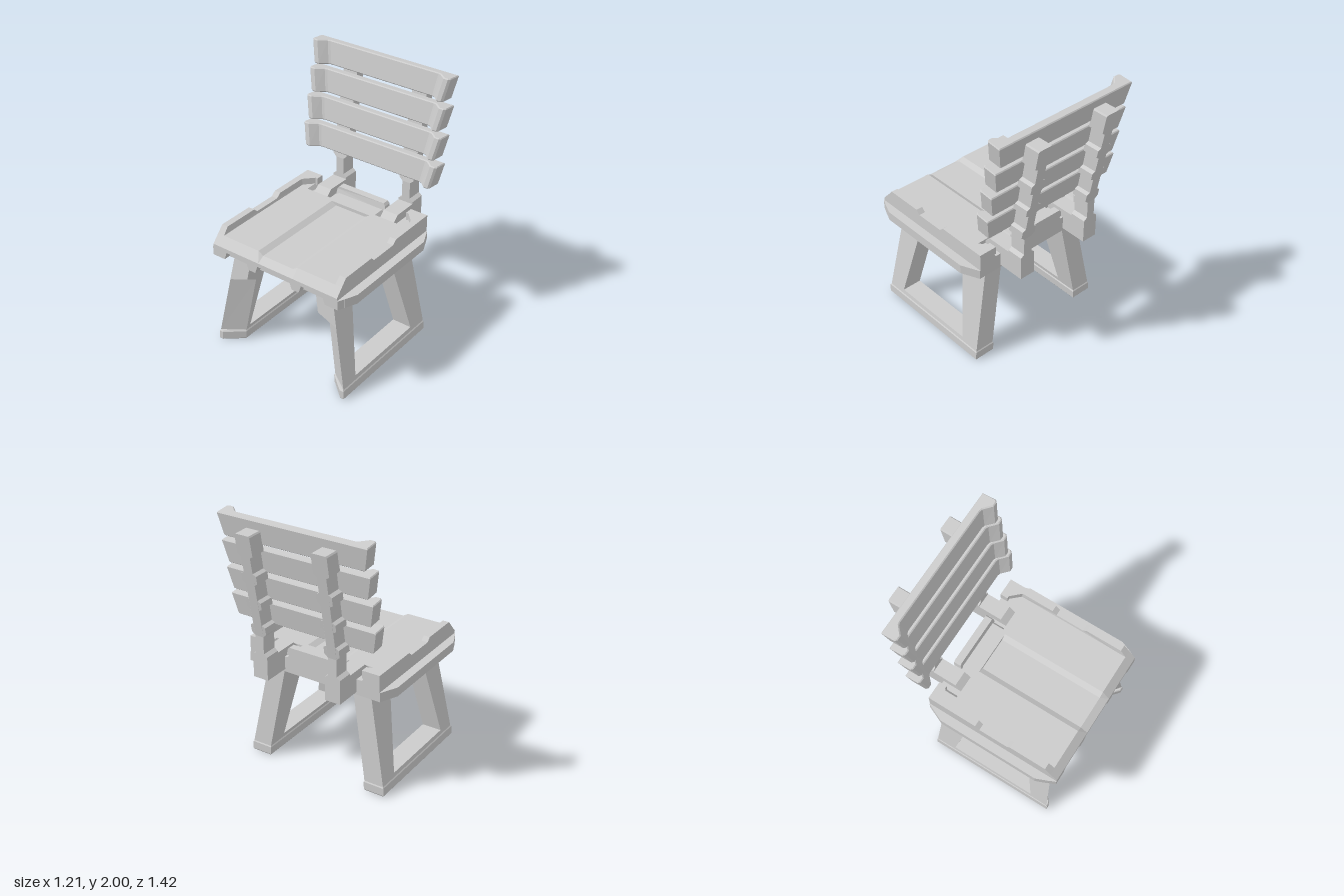
import * as THREE from 'three';

const mat = new THREE.MeshStandardMaterial({ color: 0xcccccc, flatShading: true });

const outline = (pts) => new THREE.Shape(pts.map(([a, b]) => new THREE.Vector2(a, b)));
// mirrors a half outline across x = 0
const symmetric = (half) => [...half, ...half.map(([x, y]) => [-x, y]).reverse()];

// Extrudes a shape, then moves each vertex by rule(a, b, c); keeps faces pointing outward
function extrude(name, shape, depth, rule, options = {}) {
  const geo = new THREE.ExtrudeGeometry(shape, { depth, bevelEnabled: false, ...options });
  const p = geo.attributes.position;
  for (let i = 0; i < p.count; i++) p.setXYZ(i, ...rule(p.getX(i), p.getY(i), p.getZ(i)));
  const a = new THREE.Vector3(), b = new THREE.Vector3(), c = new THREE.Vector3();
  let volume = 0;
  for (let i = 0; i < p.count; i += 3) {
    a.fromBufferAttribute(p, i);
    b.fromBufferAttribute(p, i + 1);
    c.fromBufferAttribute(p, i + 2);
    volume += a.dot(b.cross(c));
  }
  if (volume < 0) {
    for (let i = 0; i < p.count; i += 3) {
      b.fromBufferAttribute(p, i + 1);
      c.fromBufferAttribute(p, i + 2);
      p.setXYZ(i + 1, c.x, c.y, c.z);
      p.setXYZ(i + 2, b.x, b.y, b.z);
    }
  }
  geo.computeVertexNormals();
  const mesh = new THREE.Mesh(geo, mat);
  mesh.name = name;
  return mesh;
}

function createSeat() {
  const seat = new THREE.Group();
  seat.name = 'seat';

  // wide lower flange with cut corners
  const flange = symmetric([[0.545, -0.355], [0.605, -0.22], [0.605, 0.57], [0.568, 0.66]]);
  seat.add(extrude('seatFlange', outline(flange), 0.07, (x, z, y) => [x, 0.78 + y, z]));

  // front strip with three notches along its lower edge
  const strip = symmetric([
    [0.16, 0.78], [0.22, 0.78], [0.24, 0.84], [0.42, 0.84], [0.44, 0.78], [0.545, 0.78], [0.545, 0.85],
  ]);
  strip.unshift([-0.14, 0.84], [0.14, 0.84]);
  seat.add(extrude('frontStrip', outline(strip), 0.05,
    (x, y, c) => [x * (Math.abs(x) > 0.5 && c < 0.01 ? 1.04 : 1), y, 0.66 + c]));

  // main board: central groove, sloping front edge
  const board = symmetric([[0.54, 0.85], [0.54, 0.93], [0.17, 0.93], [0.13, 0.905]]);
  const zAt = [-0.17, 0.655, 0.71];
  seat.add(extrude('seatBoard', outline(board), 1, (x, y, c) => {
    const k = Math.round(c * 2);
    return [x, k === 2 ? Math.min(y, 0.87) : y, zAt[k]];
  }, { steps: 2 }));

  // back board with a shallow pocket for each arm
  const back = symmetric([[0.54, 0.85], [0.54, 0.93], [0.42, 0.93], [0.4, 0.9], [0.215, 0.9], [0.195, 0.93]]);
  seat.add(extrude('backBoard', outline(back), 0.155, (x, y, c) => [x, y, -0.355 + c]));
  const bridge = new THREE.Mesh(new THREE.BoxGeometry(1.08, 0.08, 0.03), mat);
  bridge.name = 'boardBridge';
  bridge.position.set(0, 0.89, -0.185);
  seat.add(bridge);

  // raised rim: side rails with a dip, back corners, centre piece
  const rail = [
    [-0.355, 0.92], [0.664, 0.92], [0.61, 0.98], [0.325, 0.98],
    [0.295, 0.95], [0.07, 0.95], [0.035, 0.98], [-0.355, 0.98],
  ];
  const corner = [[0.5, -0.355], [0.5, -0.22], [0.49, -0.22], [0.42, -0.295], [0.4, -0.295], [0.4, -0.355]];
  for (const s of [-1, 1]) {
    seat.add(extrude('sideRail', outline(rail), 0.05,
      (z, y, c) => [s * (0.49 + c - (c < 0.01 && y < 0.94 ? 0.006 : 0)), y, z]));
    seat.add(extrude('rimCorner', outline(corner), 0.06, (x, z, c) => [s * x, 0.92 + c, z]));
  }
  const centre = symmetric([[0.22, 0.92], [0.215, 0.96], [0.2, 0.98]]);
  seat.add(extrude('rimCentre', outline(centre), 0.055,
    (x, y, c) => [x, y, -0.355 + c + (c > 0.05 && y < 0.93 ? 0.01 : 0)]));
  return seat;
}

function createLeg(s) {
  const leg = new THREE.Group();
  leg.name = s > 0 ? 'leftLeg' : 'rightLeg';
  const cut = 0.11; // the inner front edge is cut back below the shoulder
  const frame = outline([
    [-0.285, 0.79], [0.61, 0.79], [0.625, 0.61], [0.63 - cut, 0.55], [0.667 - cut, 0.08], [-0.325, 0.08],
  ]);
  frame.holes.push(new THREE.Path([
    [0.415, 0.69], [0.4, 0.695], [-0.04, 0.695], [-0.055, 0.68], [-0.165, 0.11], [0.52, 0.11],
  ].map(([a, b]) => new THREE.Vector2(a, b))));
  leg.add(extrude('legFrame', frame, 1, (z, y, c) => {
    const inner = 0.285 + (0.78 - y) * 0.18, outer = 0.43 + (0.78 - y) * 0.193;
    // the outer face keeps its straight front edge
    const front = (y > 0.5 && y < 0.6) || (y < 0.09 && z > 0);
    return [s * (c > 0.5 ? outer : inner), y, c > 0.5 && front ? z + cut : z];
  }));

  // ground rail
  const foot = outline([[0.412, -0.322], [0.562, -0.322], [0.562, 0.668], [0.54, 0.668], [0.412, 0.56]]);
  leg.add(extrude('footRail', foot, 0.06,
    (x, z, c) => [s * (x + (0.08 - c) * 0.06), c + 0.01, z],
    { bevelEnabled: true, bevelSize: 0.007, bevelThickness: 0.01, bevelSegments: 1 }));
  return leg;
}

function createBackrest() {
  const backrest = new THREE.Group();
  backrest.name = 'backrest';

  // posts: wide pads joined by narrow necks, leaning back above the bend
  const half = [[0.06, 0.8], [0.06, 0.98], [0.033, 1.0], [0.033, 1.13], [0.06, 1.155]];
  for (const y of [1.21, 1.41, 1.62]) {
    half.push([0.06, y], [0.036, y + 0.015], [0.036, y + 0.135], [0.06, y + 0.15]);
  }
  half.push([0.06, 1.91], [0.052, 1.92]);
  const arm = [[-0.5, 0.8], [-0.2, 0.8], [-0.2, 0.92], [-0.25, 0.965], [-0.5, 0.965]];
  for (const s of [-1, 1]) {
    backrest.add(extrude('backPost', outline(symmetric(half)), 0.123,
      (x, y, c) => [s * 0.298 + x, y, c - 0.56 - Math.max(0, y - 1.14) * 0.19]));
    backrest.add(extrude('postArm', outline(arm), 0.12, (z, y, c) => [s * 0.298 + c - 0.06, y, z]));
  }

  // slats with thick ends, narrower at the bottom
  const h = 0.175, b = 0.007;
  const plan = symmetric([[0.585, 0], [0.585, 0.105], [0.57, 0.12], [0.535, 0.12], [0.48, 0.068], [0.46, 0.062]]);
  for (let i = 0; i < 4; i++) {
    const y0 = 1.19 + i * 0.2083, z0 = -0.455 - i * 0.0385;
    backrest.add(extrude('backSlat', outline(plan), h - 2 * b, (x, d, c) => {
      const up = c + b;
      return [x * (0.94 + 0.06 * up / h), y0 + up * 0.985 + d * 0.1, z0 + d * 0.985 - up * 0.17];
    }, { bevelEnabled: true, bevelSize: b, bevelOffset: -b, bevelThickness: b, bevelSegments: 1 }));
  }
  return backrest;
}

export function createModel() {
  const chair = new THREE.Group();
  chair.name = 'chair';
  chair.add(createSeat(), createLeg(1), createLeg(-1), createBackrest());
  return chair;
}
